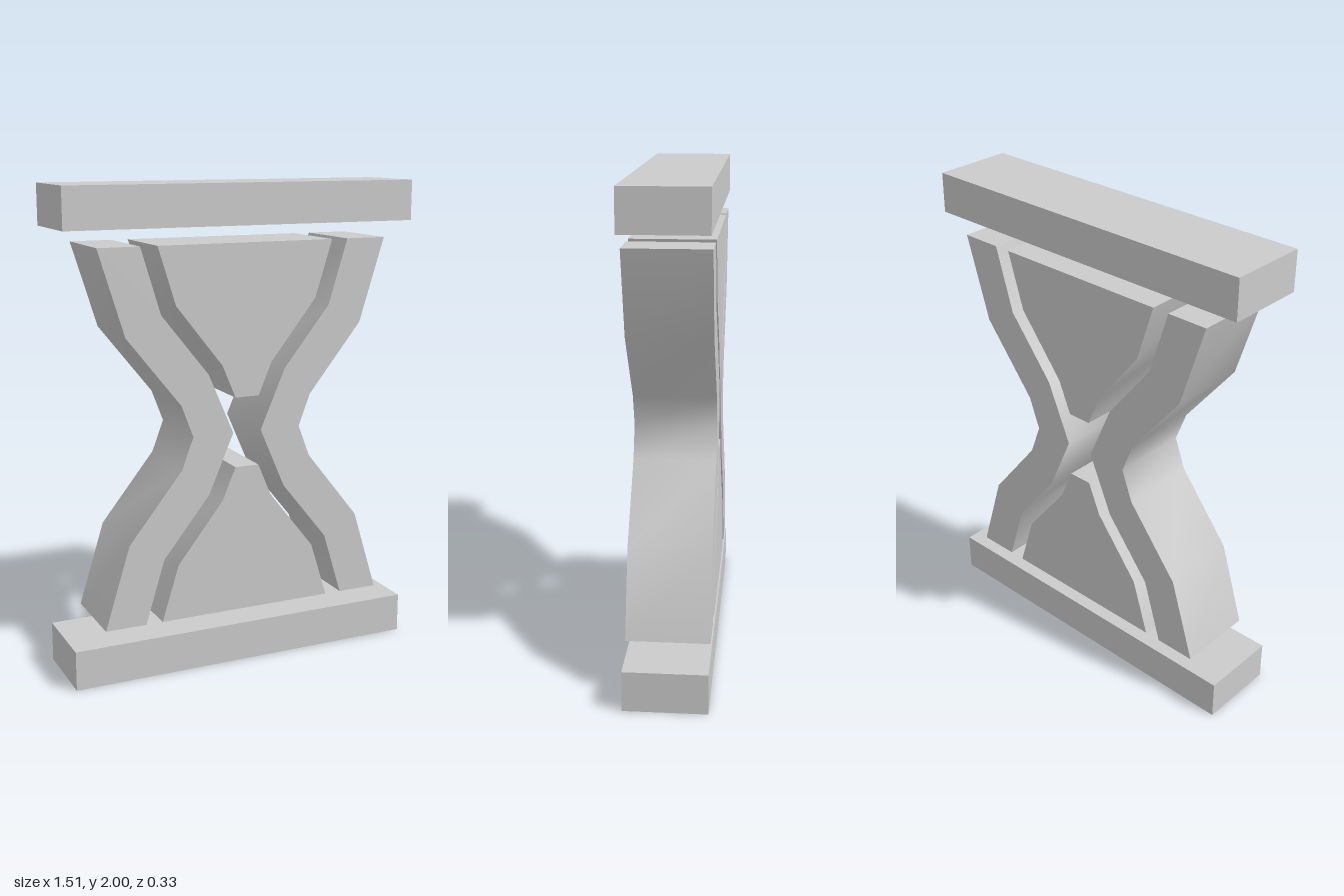
import * as THREE from 'three';
import { toCreasedNormals } from 'three/addons/utils/BufferGeometryUtils.js';

const DEPTH = 0.334;
const material = new THREE.MeshStandardMaterial({ color: 0xcccccc });

// Extrudes a front outline through the depth, smoothing the shallow bends
function slab(name, points) {
  const shape = new THREE.Shape(points.map(([x, y]) => new THREE.Vector2(x, y)));
  const geometry = new THREE.ExtrudeGeometry(shape, { depth: DEPTH, bevelEnabled: false });
  geometry.translate(0, 0, -DEPTH / 2);
  const mesh = new THREE.Mesh(toCreasedNormals(geometry, 0.9), material);
  mesh.name = name;
  return mesh;
}

// Mirrored copies of a point list, in reverse order to continue the outline
const mirrorX = (points) => points.map(([x, y]) => [-x, y]).reverse();
const mirrorY = (points) => points.map(([x, y]) => [x, 2 - y]).reverse();

export function createModel() {
  const model = new THREE.Group();
  model.name = 'hourglass';

  // Bottom and top plates
  for (const [name, y] of [['bottomPlate', 0.083], ['topPlate', 1.917]]) {
    const plate = new THREE.Mesh(new THREE.BoxGeometry(1.51, 0.166, DEPTH), material);
    plate.name = name;
    plate.position.y = y;
    model.add(plate);
  }

  // Pinched side walls: upper half of each edge, mirrored below the waist
  const outer = [[0.626, 1.768], [0.518, 1.42], [0.288, 1.132]];
  const inner = [[0.452, 1.768], [0.37, 1.5], [0.17, 1.25]];
  const outerEdge = [...outer, [0.238, 1], ...mirrorY(outer)];
  const innerEdge = [...inner, [0.062, 1], ...mirrorY(inner)];
  const wall = [...outerEdge, ...innerEdge.reverse()];
  model.add(slab('leftWall', wall), slab('rightWall', mirrorX(wall)));

  // Upper and lower sand, tapering to the waist
  const side = [[0.381, 1.768], [0.307, 1.532], [0.109, 1.281], [0.052, 1.146]];
  const sand = [...side, ...mirrorX(side)];
  model.add(slab('upperSand', sand), slab('lowerSand', mirrorY(sand)));

  return model;
}
